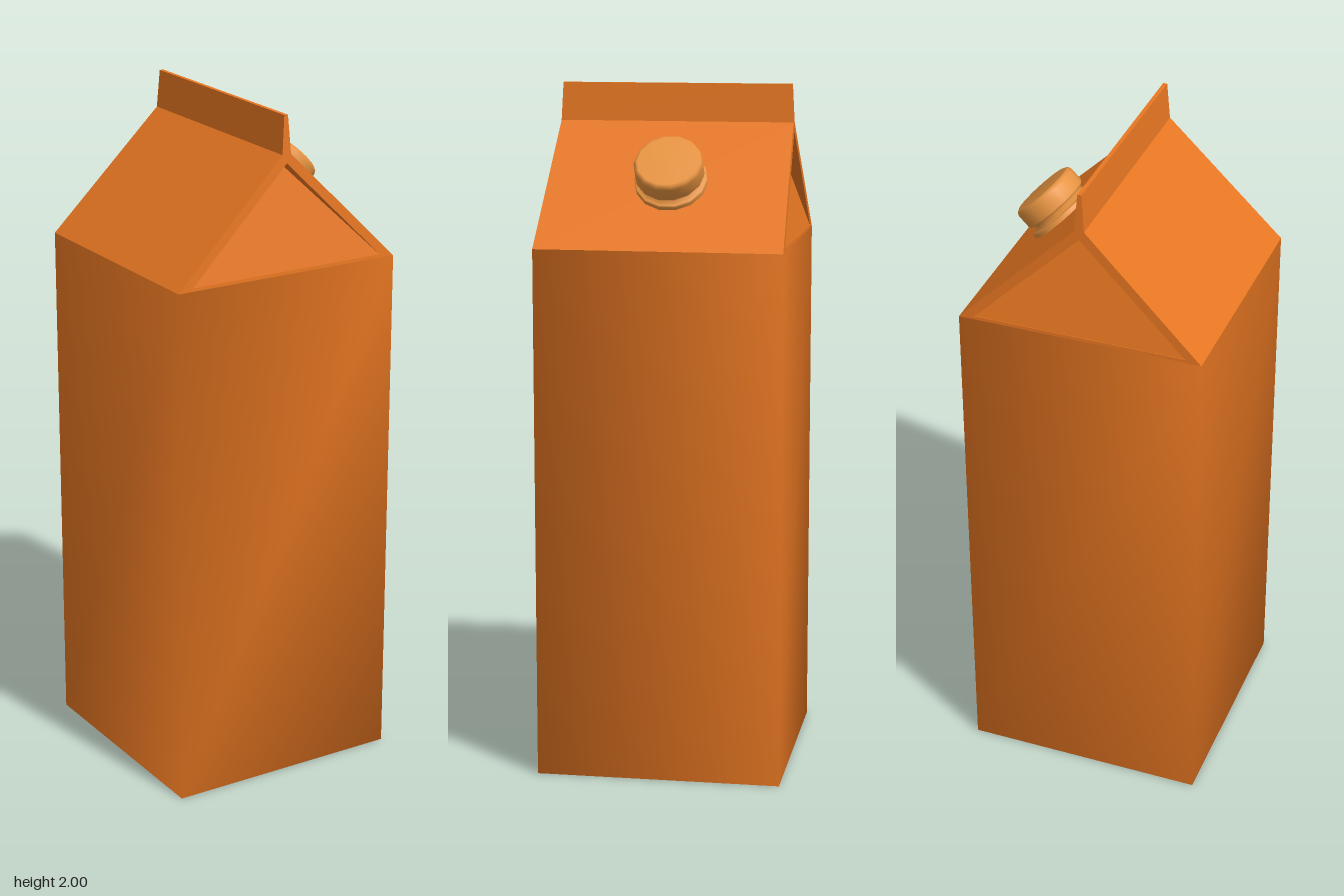
import * as THREE from 'three';
import { mergeVertices } from 'three/addons/utils/BufferGeometryUtils.js';

const HALF = 0.357, SHOULDER = 1.55, RIDGE = 1.89, TOP = 2;

export function createModel() {
  const group = new THREE.Group();
  const carton = new THREE.MeshStandardMaterial({ color: 0xe87722 });
  const cardboard = carton.clone();
  cardboard.side = THREE.DoubleSide;
  const plastic = new THREE.MeshStandardMaterial({ color: 0xe89440 });

  const add = (name, geometry, material) => {
    const mesh = new THREE.Mesh(geometry, material);
    mesh.name = name;
    group.add(mesh);
    return mesh;
  };

  // Body: open-topped box with normals blended around its corners
  const box = new THREE.BoxGeometry(2 * HALF, SHOULDER, 2 * HALF);
  box.translate(0, SHOULDER / 2, 0);
  box.setIndex([...box.index.array].filter((_, i) => i < 12 || i > 17));
  box.deleteAttribute('normal');
  box.deleteAttribute('uv');
  const body = mergeVertices(box);
  body.computeVertexNormals();
  add('body', body, carton);

  // Gable roof with sealed fin: one profile, hollow at the ends, leaning inwards
  const pts = list => list.map(([x, y]) => new THREE.Vector2(x, y));
  const profile = new THREE.Shape(pts([
    [-HALF, SHOULDER], [HALF, SHOULDER], [0.014, RIDGE],
    [0.006, TOP], [-0.006, TOP], [-0.014, RIDGE],
  ]));
  profile.holes.push(new THREE.Path(pts([[-0.31, 1.56], [0, 1.865], [0.31, 1.56]])));
  const roof = new THREE.ExtrudeGeometry(profile, { depth: 2 * HALF, bevelEnabled: false });
  roof.translate(0, 0, -HALF);
  const p = roof.attributes.position;
  for (let i = 0; i < p.count; i++) {
    const lean = 0.02 * (p.getY(i) - SHOULDER) / (TOP - SHOULDER);
    p.setZ(i, p.getZ(i) - Math.sign(p.getZ(i)) * lean);
  }
  roof.computeVertexNormals();
  add('roof', roof, carton);

  // Folded-in triangular panels, deepest under the ridge
  for (const side of [1, -1]) {
    const panel = new THREE.BufferGeometry().setFromPoints([
      new THREE.Vector3(-0.31 * side, 1.56, 0.355 * side),
      new THREE.Vector3(0.31 * side, 1.56, 0.355 * side),
      new THREE.Vector3(0, 1.865, 0.285 * side),
    ]);
    panel.computeVertexNormals();
    add(side > 0 ? 'frontGablePanel' : 'backGablePanel', panel, cardboard);
  }

  // Screw cap with base flange and neck, square to the roof slope
  const spout = new THREE.LatheGeometry(pts([
    [0.106, -0.005], [0.106, 0.012], [0.102, 0.016], [0.086, 0.017], [0.086, 0.03],
    [0.094, 0.032], [0.1, 0.038], [0.1, 0.08], [0.096, 0.09], [0.088, 0.094], [0, 0.095],
  ]), 14);
  const cap = add('screwCap', spout, plastic);
  cap.position.set(0.176, 1.728, -0.012);
  cap.rotation.z = -Math.atan2(RIDGE - SHOULDER, HALF - 0.014) + 0;

  return group;
}
